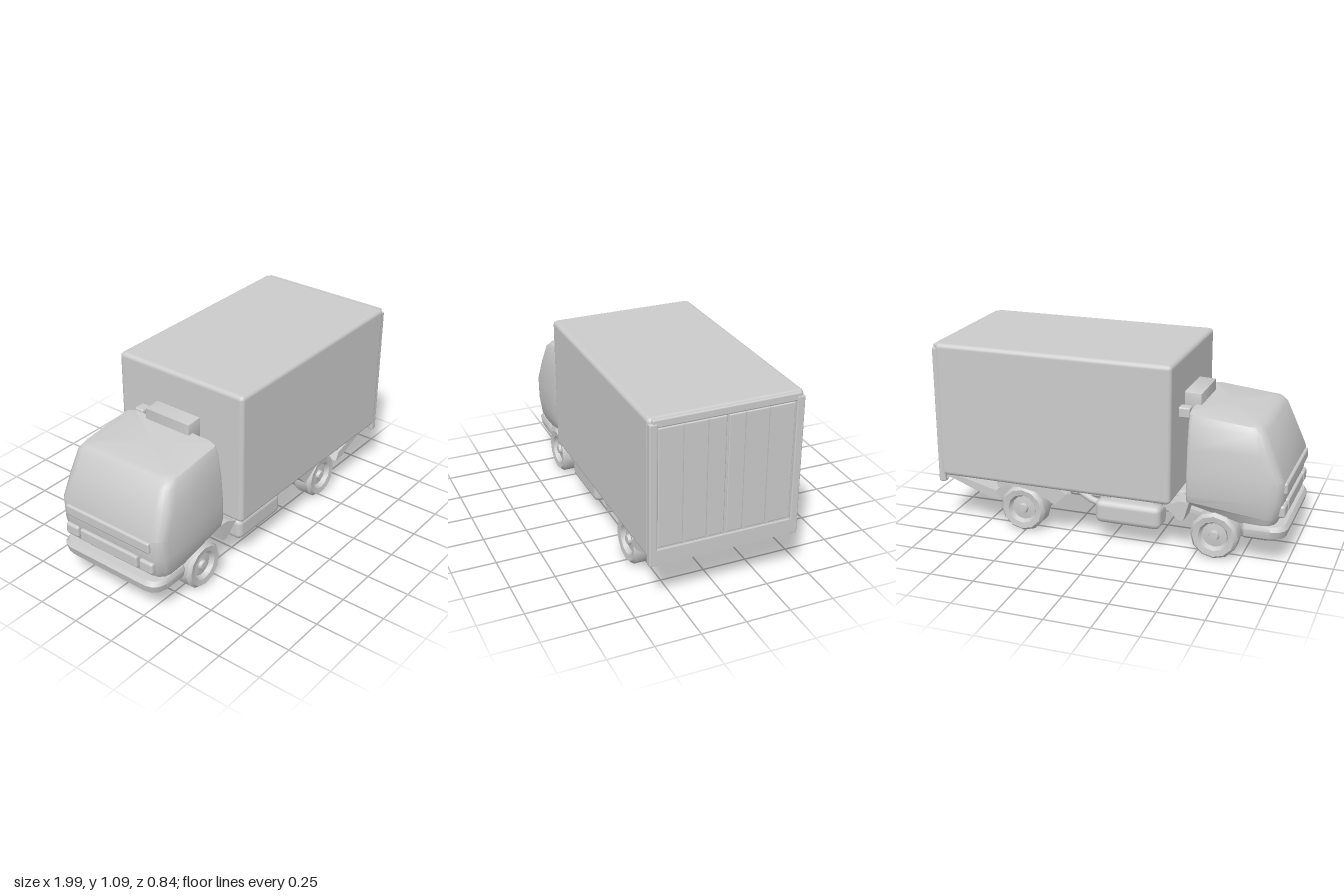
import * as THREE from 'three';
import { toCreasedNormals } from 'three/addons/utils/BufferGeometryUtils.js';
import { RoundedBoxGeometry } from 'three/addons/geometries/RoundedBoxGeometry.js';

const grey = new THREE.MeshStandardMaterial({ color: 0xcccccc });
const thin = new THREE.MeshStandardMaterial({ color: 0xcccccc, side: THREE.DoubleSide });

function add(group, name, geo, x = 0, y = 0, z = 0, mat = grey) {
  const mesh = new THREE.Mesh(geo, mat);
  mesh.name = name;
  mesh.position.set(x, y, z);
  group.add(mesh);
  return mesh;
}

// Box given by its minimum and maximum corners, optionally rounded
function block(group, name, [x0, y0, z0], [x1, y1, z1], r = 0) {
  const s = [x1 - x0, y1 - y0, z1 - z0];
  const geo = r ? new RoundedBoxGeometry(...s, 2, r) : new THREE.BoxGeometry(...s);
  return add(group, name, geo, (x0 + x1) / 2, (y0 + y1) / 2, (z0 + z1) / 2);
}

// Side profile in x and y, extruded from z0 to z1
function slab(group, name, pts, z0, z1, bevel = 0) {
  const shape = new THREE.Shape(pts.map(p => new THREE.Vector2(...p)));
  const geo = new THREE.ExtrudeGeometry(shape, {
    depth: z1 - z0 - 2 * bevel, bevelEnabled: bevel > 0, bevelSize: bevel,
    bevelThickness: bevel, bevelOffset: -bevel, bevelSegments: 2,
  });
  return add(group, name, toCreasedNormals(geo, 0.7), 0, 0, z0 + bevel);
}

// Plan ring of the cab: rounded front corners, tight rear corners
function cabRing(xf, xb, hz, r) {
  const pts = [];
  const corner = (cx, cz, rad, a0) => {
    for (let i = 0; i <= 3; i++) {
      const a = a0 + i * Math.PI / 6;
      pts.push([cx + rad * Math.cos(a), cz + rad * Math.sin(a)]);
    }
  };
  const q = Math.PI / 2, rb = 0.02;
  corner(xb - rb, hz - rb, rb, 0);
  corner(xf + r, hz - r, r, q);
  corner(xf + r, -hz + r, r, 2 * q);
  corner(xb - rb, -hz + rb, rb, 3 * q);
  return pts;
}

// Skin over closed rings stacked upward, with capped ends
function loft(rings) {
  const n = rings[0].length, pos = rings.flat(2), idx = [];
  for (let k = 0; k < rings.length - 1; k++)
    for (let j = 0; j < n; j++) {
      const a = k * n + j, b = k * n + (j + 1) % n;
      idx.push(a, a + n, b, b, a + n, b + n);
    }
  [0, rings.length - 1].forEach((k, top) => {
    const c = pos.length / 3;
    for (let i = 0; i < 3; i++) pos.push(rings[k].reduce((s, p) => s + p[i], 0) / n);
    for (let j = 0; j < n; j++) {
      const a = k * n + j, b = k * n + (j + 1) % n;
      idx.push(c, top ? b : a, top ? a : b);
    }
  });
  const geo = new THREE.BufferGeometry();
  geo.setAttribute('position', new THREE.Float32BufferAttribute(pos, 3));
  geo.setIndex(idx);
  return toCreasedNormals(geo, 0.6);
}

function addCab(truck) {
  // height, front x, half width, corner radius, lower lift, roof slope
  const levels = [
    [0.20, -0.92, 0.32, 0.07, 1, 0],
    [0.27, -0.955, 0.345, 0.07, 0.5, 0],
    [0.36, -0.97, 0.355, 0.07, 0, 0],
    [0.48, -0.975, 0.355, 0.07, 0, 0],
    [0.62, -0.915, 0.345, 0.07, 0, 0],
    [0.735, -0.865, 0.325, 0.06, 0, 0.4],
    [0.765, -0.835, 0.305, 0.05, 0, 1],
    [0.775, -0.80, 0.27, 0.05, 0, 1],
  ];
  const rings = levels.map(([y, xf, hz, r, lift, slope]) =>
    cabRing(xf, -0.45, hz, r).map(([x, z]) => {
      const t = Math.max(0, (x + 0.75) / 0.3);
      return [x, y + lift * 0.1 * t + slope * 0.035 * t, z];
    }));
  add(truck, 'cab', loft(rings));

  // Brow, grille and lamps on the nose
  block(truck, 'noseBand', [-0.99, 0.405, -0.29], [-0.94, 0.47, 0.29], 0.012);
  block(truck, 'grille', [-0.985, 0.275, -0.2], [-0.93, 0.345, 0.2], 0.01);
  for (const s of [-1, 1]) {
    block(truck, 'headlamp', [-0.985, 0.275, s * 0.26 - 0.045], [-0.92, 0.345, s * 0.26 + 0.045], 0.015);
    // Step and guard behind the front wheel
    slab(truck, 'frontGuard', [[-0.47, 0.31], [-0.44, 0.2], [-0.41, 0.2], [-0.33, 0.27], [-0.41, 0.31]],
      s * 0.28 - 0.06, s * 0.28 + 0.06);
  }

  // Bumper wrapping round the corners
  const bumper = [[0.14, -0.965, 0.31], [0.16, -0.99, 0.335], [0.205, -1, 0.345], [0.23, -0.985, 0.335]];
  add(truck, 'bumper', loft(bumper.map(([y, xf, hz]) =>
    cabRing(xf, -0.76, hz, 0.08).map(([x, z]) => [x, y, z]))));

  // Air intake bridging cab and cargo box
  slab(truck, 'airIntake', [[-0.48, 0.79], [-0.48, 0.87], [-0.37, 0.875], [-0.37, 0.755], [-0.42, 0.755]], -0.16, 0.14, 0.01);
  block(truck, 'intakePipe', [-0.445, 0.76, -0.27], [-0.37, 0.82, -0.21], 0.01);
}

function addCargo(truck) {
  block(truck, 'cargoBox', [-0.385, 0.31, -0.42], [0.975, 1.085, 0.42], 0.025);
  // Rear frame, doors and sill
  for (const s of [-1, 1]) {
    block(truck, 'rearPost', [0.95, 0.27, s * 0.395 - 0.022], [0.99, 1.06, s * 0.395 + 0.022], 0.008);
    block(truck, 'rearDoor', [0.95, 0.37, s * 0.187 - 0.181], [0.982, 1.03, s * 0.187 + 0.181], 0.006);
    for (const z of [0.1, 0.23])
      block(truck, 'lockRod', [0.975, 0.37, s * z - 0.008], [0.99, 1.03, s * z + 0.008]);
  }
  block(truck, 'rearHeader', [0.95, 1.035, -0.4], [0.987, 1.08, 0.4], 0.008);
  slab(truck, 'rearSill', [[0.9, 0.32], [0.96, 0.275], [0.99, 0.275], [0.99, 0.36], [0.93, 0.36]], -0.4, 0.4);
}

function addChassis(truck) {
  for (const s of [-1, 1]) {
    block(truck, 'frameRail', [-0.88, 0.2, s * 0.13 - 0.025], [0.7, 0.265, s * 0.13 + 0.025]);
    slab(truck, 'railTail', [[0.68, 0.2], [0.94, 0.29], [0.94, 0.32], [0.68, 0.32]], s * 0.13 - 0.025, s * 0.13 + 0.025);
    block(truck, 'sideTank', [-0.31, 0.12, s * 0.28 - 0.075], [0.07, 0.255, s * 0.28 + 0.075], 0.035);
    block(truck, 'tankBracket', [-0.23, 0.23, s * 0.2 - 0.08], [-0.01, 0.28, s * 0.2 + 0.08]);
    // Leaf springs for both axles
    for (const x of [-0.61, 0.51])
      slab(truck, 'leafSpring', [[x - 0.24, 0.2], [x, 0.15], [x + 0.2, 0.2], [x + 0.2, 0.22], [x, 0.18], [x - 0.24, 0.22]],
        s * 0.18 - 0.02, s * 0.18 + 0.02);
    // Rear wheel cover and sloping mud flap
    slab(truck, 'rearFender', [[0.23, 0.27], [0.27, 0.3], [0.4, 0.315], [0.66, 0.31], [0.64, 0.26], [0.55, 0.285], [0.4, 0.26], [0.3, 0.2]],
      s * 0.29 - 0.08, s * 0.29 + 0.08);
    slab(truck, 'mudFlap', [[0.63, 0.185], [0.7, 0.19], [0.97, 0.29], [0.97, 0.315], [0.66, 0.235]],
      s * 0.29 - 0.075, s * 0.29 + 0.075);
  }
  for (const x of [-0.4, -0.1, 0.2, 0.48, 0.7])
    block(truck, 'crossMember', [x - 0.02, 0.21, -0.14], [x + 0.02, 0.26, 0.14]);
  for (const x of [-0.28, 0.02, 0.32, 0.62])
    block(truck, 'floorBeam', [x - 0.025, 0.25, -0.3], [x + 0.025, 0.32, 0.3]);

  block(truck, 'engine', [-0.86, 0.13, -0.11], [-0.48, 0.32, 0.11], 0.03);
  block(truck, 'gearbox', [-0.5, 0.14, -0.07], [-0.28, 0.25, 0.07], 0.025);
  block(truck, 'batteryTray', [0.06, 0.115, 0.12], [0.21, 0.19, 0.22], 0.01);
  const shaft = new THREE.CylinderGeometry(0.02, 0.02, 0.78, 8).rotateZ(Math.PI / 2);
  add(truck, 'driveShaft', shaft, 0.1, 0.17);
  const path = new THREE.CatmullRomCurve3([[-0.45, 0.17, -0.09], [0.1, 0.15, -0.16], [0.35, 0.23, -0.08],
    [0.55, 0.25, -0.06], [0.75, 0.23, -0.1]].map(p => new THREE.Vector3(...p)));
  add(truck, 'exhaustPipe', new THREE.TubeGeometry(path, 20, 0.02, 8), 0, 0, 0, thin);
}

function addWheels(truck) {
  const outline = [[0, -0.05], [0.09, -0.06], [0.118, -0.065], [0.134, -0.045], [0.134, 0.045],
    [0.118, 0.065], [0.085, 0.06], [0.07, 0.035], [0.03, 0.04], [0.025, 0.058], [0, 0.06]];
  const tyre = toCreasedNormals(new THREE.LatheGeometry(
    outline.map(p => new THREE.Vector2(...p)), 12).rotateX(Math.PI / 2), 0.6);
  for (const [name, x] of [['front', -0.61], ['rear', 0.51]]) {
    for (const s of [-1, 1]) {
      const wheel = add(truck, name + 'Wheel', tyre, x, 0.134, s * 0.285);
      if (s < 0) wheel.rotation.y = Math.PI;
    }
    add(truck, name + 'Axle', new THREE.CylinderGeometry(0.035, 0.035, 0.46, 8).rotateX(Math.PI / 2), x, 0.145);
  }
  const bulb = new THREE.SphereGeometry(0.075, 10, 8).scale(1, 0.75, 1.4);
  add(truck, 'differential', bulb, 0.51, 0.145);
}

export function createModel() {
  const truck = new THREE.Group();
  truck.name = 'boxTruck';
  addCab(truck);
  addCargo(truck);
  addChassis(truck);
  addWheels(truck);
  return truck;
}
